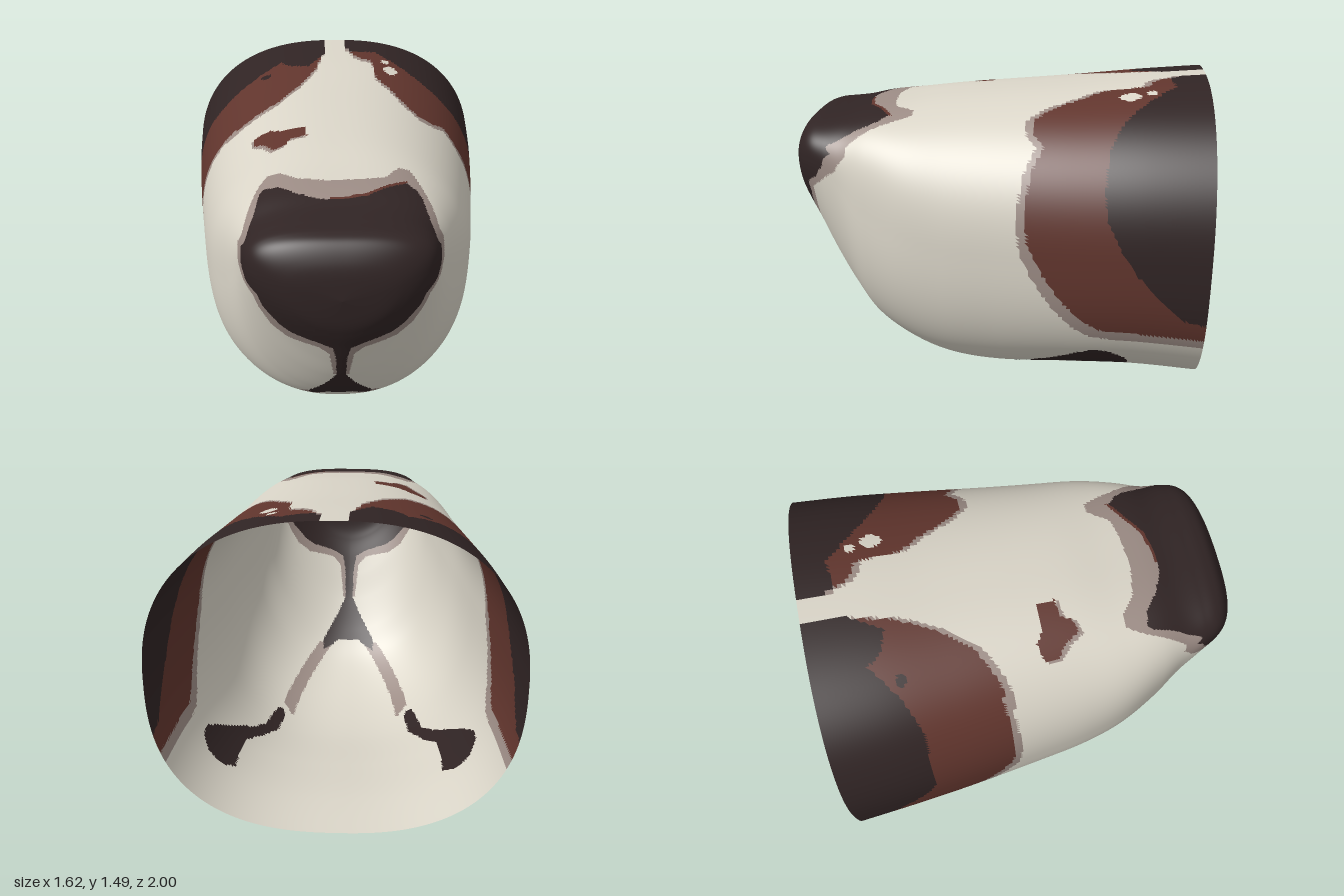
import * as THREE from 'three';

// Linear interpolation through [key, value] pairs
function lerpTable(pts, k) {
  if (k <= pts[0][0]) return pts[0][1];
  for (let i = 1; i < pts.length; i++) {
    if (k <= pts[i][0]) {
      const [a, va] = pts[i - 1], [b, vb] = pts[i];
      return va + (vb - va) * (k - a) / (b - a);
    }
  }
  return pts[pts.length - 1][1];
}

function inside(poly, x, y) {
  let hit = false;
  for (let i = 0, j = poly.length - 1; i < poly.length; j = i++) {
    const [xi, yi] = poly[i], [xj, yj] = poly[j];
    if ((yi > y) !== (yj > y) && x < (xj - xi) * (y - yi) / (yj - yi) + xi) hit = !hit;
  }
  return hit;
}
const oval = (x, z, cx, cz, rx, rz) => ((x - cx) / rx) ** 2 + ((z - cz) / rz) ** 2 < 1;

// Cross-sections: z, bottom, top, half width, widest height, upper and lower roundness
const SECTIONS = [
  [-1, .05, 1.5, .81, .78, 2.4, 2.5], [-.7, .06, 1.475, .785, .78, 2.4, 2.5],
  [-.4, .04, 1.445, .75, .77, 2.4, 2.5], [-.05, .01, 1.415, .7, .77, 2.4, 2.5],
  [.2, .03, 1.39, .66, .77, 2.5, 2.5], [.4, .09, 1.36, .61, .8, 2.8, 2.4],
  [.58, .19, 1.335, .53, .86, 3.2, 2.3], [.7, .32, 1.31, .465, .97, 3.2, 2.1],
  [.8, .48, 1.297, .43, 1.08, 3, 1.9], [.87, .62, 1.287, .4, 1.11, 3, 1.7],
  [.92, .73, 1.265, .355, 1.11, 2.8, 1.7], [.96, .82, 1.21, .28, 1.09, 2.6, 1.8],
  [.985, .9, 1.14, .18, 1.06, 2.3, 2], [1, 1.03, 1.03, 0, 1.03, 2, 2],
];

// Smooth blend between cross-sections
function sectionAt(u) {
  const last = SECTIONS.length - 1, i = Math.min(Math.floor(u), last - 1), t = u - i;
  const at = k => SECTIONS[Math.max(0, Math.min(last, k))];
  return at(i).map((b, c) => {
    const a = at(i - 1)[c], d = at(i + 1)[c], e = at(i + 2)[c];
    return b + .5 * t * (d - a + t * (2 * a - 5 * b + 4 * d - e + t * (3 * (b - d) + e - a)));
  });
}

// Nose, lip groove and upper lip: half outlines (x, y) seen from the front
const NOSE = [[0, 2], [.36, 2], [.355, 1.3], [.38, 1.25], [.43, 1.16], [.43, 1.1], [.41, 1.04], [.36, 1],
  [.34, .94], [.27, .85], [.22, .81], [.1, .765], [.04, .73], [.025, .65], [.022, .5],
  [.06, .42], [.15, .28], [.15, .23], [.1, .25], [.06, .275], [0, .275]];
const NOSE_RIM = [[0, 2], [.4, 2], [.39, 1.3], [.41, 1.25], [.45, 1.16], [.45, 1.08], [.42, 1.02], [.38, .98],
  [.36, .92], [.31, .83], [.24, .77], [.1, .73], [.055, .68], [.035, .5], [0, .49]];
const LIP_LINE = [[.1, .25], [.17, .27], [.35, .09], [.29, .05]];
// Back edge of the nose over the bridge (x, z)
const NOSE_BACK = [[-.43, .74], [-.37, .57], [-.34, .52], [-.28, .53], [-.2, .59], [-.1, .64], [0, .65],
  [.12, .62], [.2, .56], [.3, .5], [.34, .54], [.37, .6], [.43, .76]];
const RIM_BACK = [[-.43, .7], [-.37, .5], [-.33, .42], [-.27, .42], [-.2, .48], [-.05, .51], [.1, .5],
  [.2, .48], [.27, .38], [.32, .38], [.36, .48], [.43, .68]];
// Mouth corner (z, y)
const MOUTH = [[.12, .09], [0, .095], [-.1, .1], [-.2, .14], [-.3, .2], [-.4, .26], [-.5, .31], [-.58, .31],
  [-.66, .26], [-.68, .2], [-.64, .165], [-.45, .16], [-.35, .15], [-.25, .11], [-.1, .068], [.05, .063], [.12, .075]];
// Front edges of the side patches: over the bridge (x, z) and down the cheek (y, z)
const BROWN_TOP = [[-.72, -.19], [-.58, -.17], [-.45, -.2], [-.3, -.28], [-.2, -.42], [-.11, -.6], [-.07, -.8],
  [-.05, -1], [-.045, -2], [.045, -2], [.055, -.9], [.1, -.8], [.13, -.75], [.2, -.73], [.215, -.52], [.28, -.42],
  [.35, -.28], [.42, -.2], [.5, -.21], [.55, -.26], [.62, -.21], [.7, -.18]];
const BROWN_SIDE = [[.43, -2], [.45, -.8], [.455, -.53], [.5, -.45], [.6, -.35], [.72, -.27], [.85, -.2],
  [1, -.18], [1.2, -.19], [1.28, -.2], [1.3, 0]];
const DARK_TOP = [[-.75, -.58], [-.6, -.57], [-.45, -.64], [-.3, -.75], [-.25, -.68], [-.15, -.65], [-.1, -.73],
  [-.06, -.8], [-.045, -2], [.045, -2], [.06, -.88], [.1, -.83], [.22, -.85], [.33, -.75], [.4, -.68],
  [.5, -.6], [.6, -.55], [.75, -.53]];
const DARK_SIDE = [[.51, -2], [.53, -1], [.55, -.9], [.64, -.8], [.75, -.7], [.85, -.62], [1, -.55],
  [1.15, -.53], [1.28, -.55], [1.3, 0]];
// Small spot on the bridge (x, z)
const SPOT = [[-.41, .02], [-.33, 0], [-.29, .03], [-.16, .04], [-.15, .12], [-.23, .13], [-.25, .18],
  [-.31, .2], [-.35, .13], [-.41, .08]];

const inPatch = (top, side, x, y, z) =>
  z < lerpTable(side, y) && (y < .78 || z < lerpTable(top, x));

const CREAM = 0, DARK = 1, BROWN = 2, MAUVE = 3;

function colourAt(x, y, z) {
  const ax = Math.abs(x);
  if (z > .3) {
    if (inside(NOSE, ax, y)) {
      const back = y > 1.15 ? lerpTable(NOSE_BACK, x) : 0;
      if (z > back) return DARK;
      if (x > -.05 && x < .3 && z > back - .018) return BROWN;
    }
    if (inside(NOSE_RIM, ax, y) && (y < 1.15 || z > lerpTable(RIM_BACK, x))) return MAUVE;
  }
  if (inside(MOUTH, z, y)) return DARK;
  if (z > .1 && inside(LIP_LINE, ax, y)) return MAUVE;
  if (y > 1) {
    if (inside(SPOT, x, z)) return BROWN;
    if (inside(SPOT, x + .01, z - .02)) return MAUVE;
    if (oval(x, z, .3, -.64, .035, .05) || oval(x, z, .275, -.74, .02, .025)) return CREAM;
    if (oval(x, z, -.38, -.62, .03, .02)) return DARK;
  }
  if (inPatch(DARK_TOP, DARK_SIDE, x, y, z)) return DARK;
  if (inPatch(BROWN_TOP, BROWN_SIDE, x, y, z)) return BROWN;
  if (inPatch(BROWN_TOP, BROWN_SIDE, x, y + .05, z - .035)) return MAUVE;
  return CREAM;
}

// Open shell made of rings from the back edge to the nose tip
function muzzleGeometry(rings, sides) {
  const pos = [], faces = [[], [], [], []];
  for (let i = 0; i <= rings; i++) {
    const [z, bottom, top, w, mid, nTop, nLow] = sectionAt(i / rings * (SECTIONS.length - 1));
    for (let j = 0; j < sides; j++) {
      const a = j / sides * Math.PI * 2, c = Math.cos(a), s = Math.sin(a);
      const p = 2 / (s > 0 ? nTop : nLow);
      const h = s > 0 ? top - mid : bottom - mid;
      pos.push(w * Math.sign(c) * Math.abs(c) ** p, mid + h * Math.abs(s) ** p, z);
    }
  }
  const addFace = (...ids) => {
    const mean = k => ids.reduce((sum, id) => sum + pos[id * 3 + k], 0) / 3;
    faces[colourAt(mean(0), mean(1), mean(2))].push(...ids);
  };
  for (let i = 0; i < rings; i++) {
    for (let j = 0; j < sides; j++) {
      const a = i * sides + j, b = i * sides + (j + 1) % sides;
      addFace(a, b, b + sides);
      addFace(a, b + sides, a + sides);
    }
  }
  const geo = new THREE.BufferGeometry();
  geo.setAttribute('position', new THREE.Float32BufferAttribute(pos, 3));
  geo.setIndex(faces.flat());
  let start = 0;
  faces.forEach((f, k) => { geo.addGroup(start, f.length, k); start += f.length; });
  geo.computeVertexNormals();
  return geo;
}

export function createModel() {
  const colours = { creamFur: 0xdad5c8, darkFur: 0x302424, brownFur: 0x61352d, mauveEdge: 0x9c8c85 };
  const materials = Object.entries(colours).map(([name, color]) => {
    const m = new THREE.MeshStandardMaterial({ color, side: THREE.DoubleSide });
    m.name = name;
    return m;
  });
  const muzzle = new THREE.Mesh(muzzleGeometry(240, 300), materials);
  muzzle.name = 'muzzleShell';
  const group = new THREE.Group();
  group.name = 'animalMuzzle';
  group.add(muzzle);
  return group;
}
